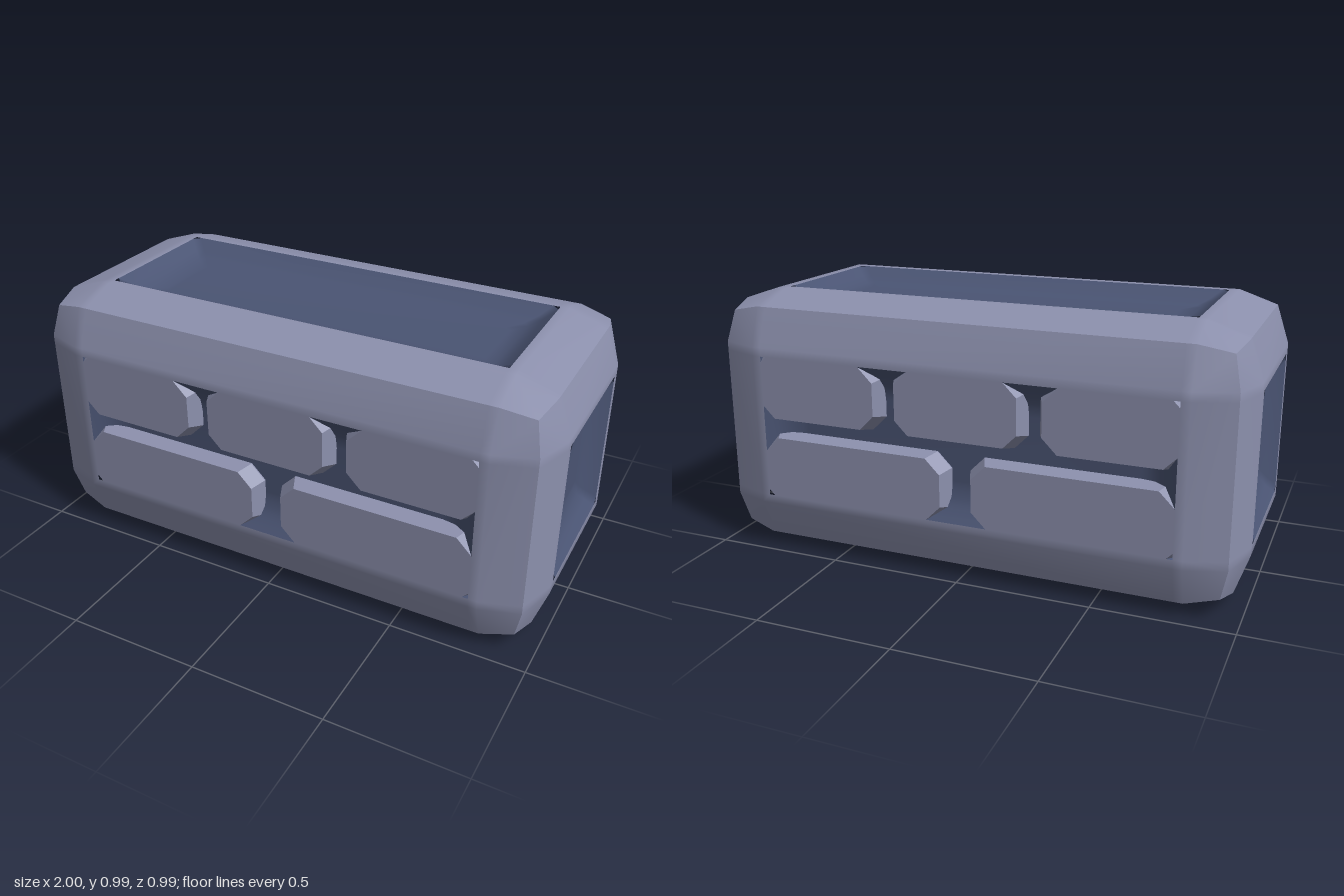
import * as THREE from 'three';

const HALF = { x: 1, y: 0.4925, z: 0.494 };
const INNER = 0.19, HOLE = 0.223, EDGE = 0.048, CORNER = 0.073;

function indexed(pos, idx) {
  const g = new THREE.BufferGeometry();
  g.setAttribute('position', new THREE.Float32BufferAttribute(pos, 3));
  g.setIndex(idx);
  g.computeVertexNormals();
  return g;
}

// One shell face with softened borders and a rectangular opening, facing +z
function shellFace(hu, hv, hn) {
  const pos = [], idx = [];
  const axis = (h, k, drop) => {
    const inset = [drop, INNER, HOLE, HOLE, INNER, drop][k];
    return (k < 3 ? -1 : 1) * (h - inset);
  };
  for (let j = 0; j < 6; j++) for (let i = 0; i < 6; i++) {
    const borders = (i % 5 === 0) + (j % 5 === 0);
    const drop = [0, EDGE, CORNER][borders];
    pos.push(axis(hu, i, drop), axis(hv, j, drop), hn - drop);
  }
  for (let j = 0; j < 5; j++) for (let i = 0; i < 5; i++) {
    if (i === 2 && j === 2) continue;
    const a = j * 6 + i, b = a + 1, c = a + 7, d = a + 6;
    // mirror the diagonals so that the four corners match
    if ((i < 2) === (j < 2)) idx.push(a, b, c, a, c, d);
    else idx.push(a, b, d, b, c, d);
  }
  return indexed(pos, idx);
}

// Rectangle with cut corners; cuts run bottom left, bottom right, top right, top left
function octagon(x0, x1, y0, y1, z, [bl, br, tr, tl]) {
  return [[x0 + bl, y0, z], [x1 - br, y0, z], [x1, y0 + br, z], [x1, y1 - tr, z],
    [x1 - tr, y1, z], [x0 + tl, y1, z], [x0, y1 - tl, z], [x0, y0 + bl, z]];
}

// Joins octagons from the outside in and caps the last one
function loft(loops) {
  const idx = [], n = 8;
  for (let l = 0; l < loops.length - 1; l++) for (let i = 0; i < n; i++) {
    const a = l * n + i, b = l * n + (i + 1) % n;
    idx.push(a, b, b + n, a, b + n, a + n);
  }
  const last = (loops.length - 1) * n;
  for (let i = 1; i < n - 1; i++) idx.push(last, last + i, last + i + 1);
  return indexed(loops.flat(2), idx);
}

// Shallow dark tray filling an opening
function tray(hu, hv, hn) {
  const ring = (inset, depth, cut) => {
    const u = hu - HOLE - inset, v = hv - HOLE - inset;
    return octagon(-u, u, -v, v, hn - depth, [cut, cut, cut, cut]);
  };
  return loft([ring(0, 0, 0.026), ring(0.04, 0.031, 0.024), ring(0.08, 0.052, 0.022), ring(0.13, 0.06, 0.02)]);
}

// Flat-sided block widening towards its base
function block(x0, x1, y0, y1, cuts) {
  const z = HALF.z, e = 0.024;
  const base = (depth) => octagon(x0 - e, x1 + e, y0 - e / 2, y1 + e / 2, z - depth, cuts);
  const g = loft([base(0.12), base(0.055), octagon(x0, x1, y0, y1, z, cuts)]).toNonIndexed();
  g.computeVertexNormals();
  return g;
}

export function createModel() {
  const model = new THREE.Group();
  model.name = 'slottedBlock';
  const frameMat = new THREE.MeshStandardMaterial({ color: 0x8c90ad });
  frameMat.name = 'greyLavender';
  const trayMat = new THREE.MeshStandardMaterial({ color: 0x4a5473, side: THREE.DoubleSide });
  trayMat.name = 'slateBlue';

  const add = (parent, geometry, material, name) => {
    const mesh = new THREE.Mesh(geometry, material);
    mesh.name = name;
    parent.add(mesh);
  };

  // Blocks: x range, y range, corner cuts
  const R = 0.022, C = 0.055, W = HALF.x - HOLE, T = HALF.y - HOLE;
  const low = 0.53 - HALF.y, high = 0.455 - HALF.y;
  const blocks = [
    [-W, -0.318, low, T, [0.045, C, C, R]],
    [-0.232, 0.228, low, T, [0.05, 0.05, 0.05, 0.05]],
    [0.318, W, low, T, [C, 0.045, R, C]],
    [-W, -0.062, -T, high, [R, C, C, 0.055]],
    [0.058, W, -T, high, [C, R, 0.055, C]],
  ];

  // Six sides, each turned from +z
  const { x, y, z } = HALF, q = Math.PI / 2;
  const sides = [
    ['front', [x, y, z], 0, 0], ['back', [x, y, z], 0, 2 * q],
    ['left', [z, y, x], 0, q], ['right', [z, y, x], 0, -q],
    ['top', [x, z, y], -q, 0], ['bottom', [x, z, y], q, 0],
  ];
  for (const [name, size, rx, ry] of sides) {
    const side = new THREE.Group();
    side.name = name + 'Side';
    side.rotation.set(rx, ry, 0);
    side.position.y = HALF.y;
    add(side, shellFace(...size), frameMat, name + 'Frame');
    add(side, tray(...size), trayMat, name + 'Tray');
    if (name === 'front' || name === 'back') {
      blocks.forEach((b, i) => add(side, block(...b), frameMat, name + 'Block' + (i + 1)));
    }
    model.add(side);
  }
  return model;
}
